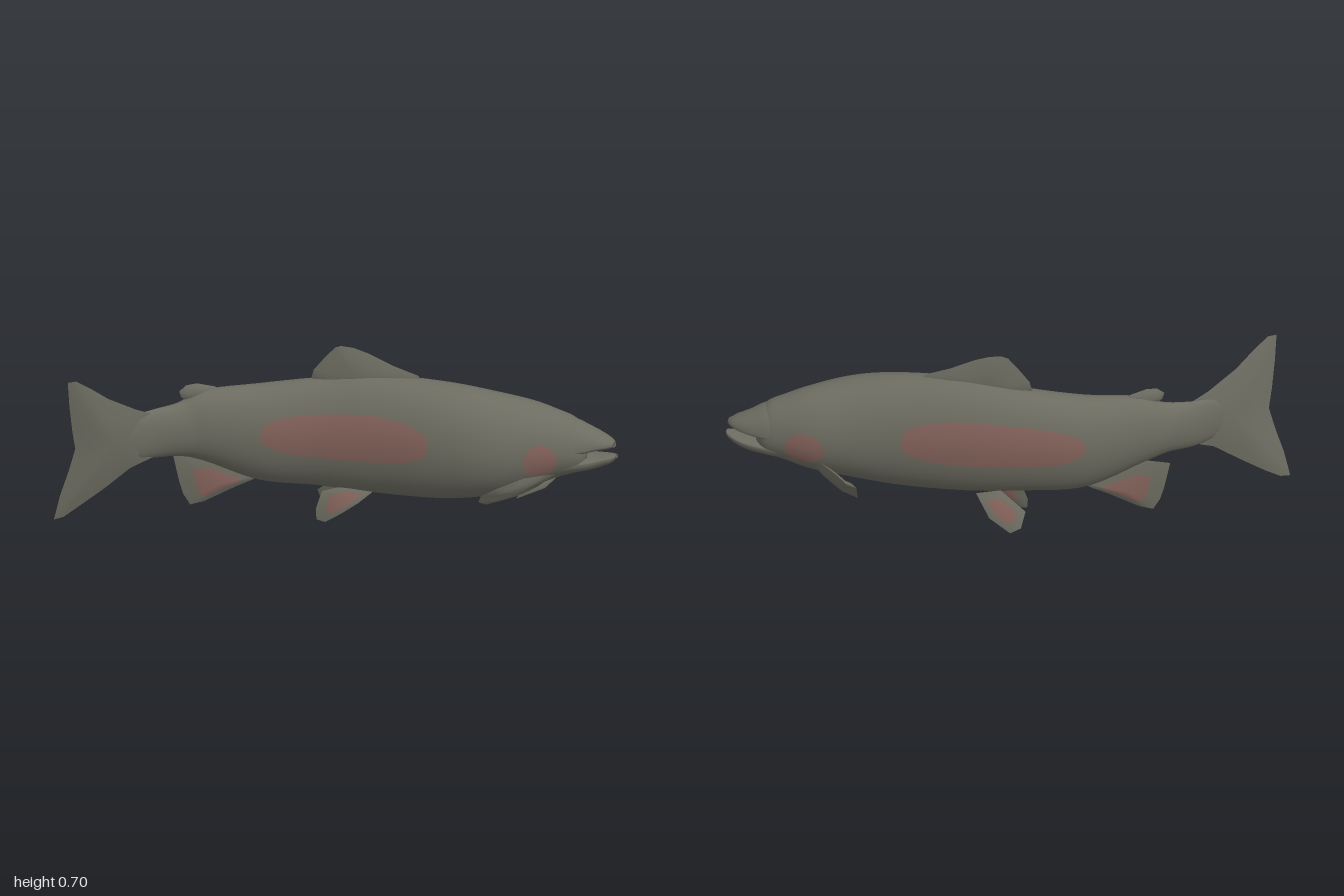
import * as THREE from 'three';

const olive = new THREE.MeshStandardMaterial({ color: 0x6c6c61, side: THREE.DoubleSide });
olive.name = 'olive grey skin';
const rose = new THREE.MeshStandardMaterial({ color: 0x83625a, side: THREE.DoubleSide });
rose.name = 'rose flush';

// Cross-sections along the bent spine: x, z, top y, widest y, bottom y, half width
const BODY = [
  [-0.78, -0.332, 0.43, 0.38, 0.33, 0.006], [-0.68, -0.34, 0.465, 0.38, 0.29, 0.022],
  [-0.6, -0.347, 0.475, 0.38, 0.28, 0.035], [-0.5, -0.34, 0.49, 0.38, 0.275, 0.052],
  [-0.4, -0.328, 0.53, 0.38, 0.245, 0.073], [-0.2, -0.27, 0.545, 0.36, 0.16, 0.105],
  [0, -0.18, 0.57, 0.36, 0.14, 0.115], [0.2, -0.06, 0.595, 0.36, 0.122, 0.13],
  [0.4, 0.075, 0.585, 0.35, 0.12, 0.145], [0.55, 0.165, 0.56, 0.34, 0.14, 0.148],
  [0.7, 0.225, 0.52, 0.34, 0.175, 0.13], [0.8, 0.27, 0.48, 0.335, 0.215, 0.105],
  [0.87, 0.305, 0.44, 0.325, 0.24, 0.08], [0.9, 0.32, 0.36, 0.32, 0.28, 0.04],
];
const SNOUT = [
  [0.8, 0.27, 0.47, 0.34, 0.31, 0.098], [0.87, 0.303, 0.442, 0.34, 0.315, 0.083],
  [0.92, 0.33, 0.412, 0.345, 0.325, 0.065], [0.965, 0.365, 0.382, 0.352, 0.335, 0.042],
  [0.985, 0.385, 0.362, 0.352, 0.342, 0.015],
];
const JAW = [
  [0.8, 0.27, 0.3, 0.29, 0.222, 0.09], [0.87, 0.303, 0.305, 0.285, 0.238, 0.075],
  [0.93, 0.335, 0.305, 0.29, 0.252, 0.055], [0.975, 0.37, 0.31, 0.3, 0.275, 0.033],
  [0.993, 0.388, 0.312, 0.305, 0.298, 0.012],
];

// Returns a function (t, angle, swell) giving a point on the smooth skin through the rows
function skin(rows) {
  const curve = (f) => new THREE.CatmullRomCurve3(rows.map(f), false, 'catmullrom', 0.5);
  const spine = curve((r) => new THREE.Vector3(r[0], r[3], r[1]));
  const size = curve((r) => new THREE.Vector3(r[2] - r[3], r[3] - r[4], r[5]));
  return (t, a, swell = 0) => {
    const c = spine.getPoint(t), d = spine.getTangent(t), s = size.getPoint(t);
    const len = Math.hypot(d.x, d.z), w = (s.z + swell) * Math.cos(a);
    const h = (Math.sin(a) > 0 ? s.x : s.y) + swell;
    return new THREE.Vector3(c.x - d.z / len * w, c.y + h * Math.sin(a), c.z + d.x / len * w);
  };
}

function geometry(points, index) {
  const g = new THREE.BufferGeometry().setFromPoints(points);
  g.setIndex(index);
  g.computeVertexNormals();
  return g;
}

// Closed tube of cross-sections with capped ends
function loft(surface, steps, sides = 40) {
  const pts = [], idx = [];
  for (let i = 0; i <= steps; i++)
    for (let j = 0; j < sides; j++) pts.push(surface(i / steps, j / sides * Math.PI * 2));
  for (let i = 0; i < steps; i++)
    for (let j = 0; j < sides; j++) {
      const k = (j + 1) % sides, a = i * sides + j, b = i * sides + k;
      idx.push(a, a + sides, b, b, a + sides, b + sides);
    }
  for (const end of [0, steps]) {
    const c = pts.length, o = end * sides;
    pts.push(surface(end / steps, 0).lerp(surface(end / steps, Math.PI), 0.5));
    for (let j = 0; j < sides; j++) {
      const k = (j + 1) % sides;
      idx.push(c, ...(end ? [o + j, o + k] : [o + k, o + j]));
    }
  }
  return geometry(pts, idx);
}

// Thin rounded patch lying on the skin
function patch(surface, tc, tr, ac, ar, power) {
  const rings = 10, n = 56, pts = [surface(tc, ac, 0.003)], idx = [];
  const soft = (v) => Math.sign(v) * Math.abs(v) ** power;
  for (let i = 1; i <= rings; i++)
    for (let j = 0; j < n; j++) {
      const p = j / n * Math.PI * 2, r = i / rings;
      pts.push(surface(tc + tr * r * soft(Math.cos(p)), ac + ar * r * soft(Math.sin(p)), 0.003));
    }
  for (let j = 0; j < n; j++) {
    const k = (j + 1) % n;
    idx.push(0, 1 + j, 1 + k);
    for (let i = 0; i < rings - 1; i++) {
      const a = 1 + i * n + j, b = 1 + i * n + k;
      idx.push(a, a + n, b, b, a + n, b + n);
    }
  }
  return geometry(pts, idx);
}

// Lens-shaped fin from an outline; the inner part is group 1, the rim group 0
function fin(outline, centre, half, inner = 0.6) {
  const o = outline.map((p) => new THREE.Vector3(...p)), n = o.length;
  const c = new THREE.Vector3(...centre), normal = new THREE.Vector3();
  o.forEach((p, i) => normal.add(p.clone().sub(c).cross(o[(i + 1) % n].clone().sub(c))));
  normal.normalize();
  const pts = [], core = [], rim = [];
  for (const side of [1, -1]) {
    const s = pts.length, lift = normal.clone().multiplyScalar(side * half);
    const tri = (list, a, b, d) => list.push(s + a, s + (side > 0 ? b : d), s + (side > 0 ? d : b));
    pts.push(c.clone().add(lift));
    o.forEach((p) => pts.push(c.clone().lerp(p, inner).addScaledVector(lift, 0.75)));
    o.forEach((p) => pts.push(p.clone()));
    for (let j = 0; j < n; j++) {
      const a = 1 + j, b = 1 + (j + 1) % n;
      tri(core, 0, a, b);
      tri(rim, a, a + n, b);
      tri(rim, b, a + n, b + n);
    }
  }
  const g = geometry(pts, [...rim, ...core]);
  g.addGroup(0, rim.length, 0);
  g.addGroup(rim.length, core.length, 1);
  return g;
}

export function createModel() {
  const fish = new THREE.Group();
  fish.name = 'fish';
  const add = (name, geo, mat) => {
    const m = new THREE.Mesh(geo, mat);
    m.name = name;
    fish.add(m);
  };
  const plain = [olive, olive], flushed = [olive, rose];

  // Body, snout and open lower jaw
  const body = skin(BODY);
  add('body', loft(body, 104), olive);
  add('upperSnout', loft(skin(SNOUT), 24), olive);
  add('lowerJaw', loft(skin(JAW), 24), olive);

  // Flush on both flanks and gill covers
  for (const left of [true, false]) {
    const at = (a) => (left ? a : Math.PI - a), side = left ? 'front' : 'back';
    add(side + 'FlankFlush', patch(body, 6.45 / 13, 1.45 / 13, at(0.1), 0.41, 0.75), rose);
    add(side + 'CheekFlush', patch(body, 10.4 / 13, 0.6 / 13, at(-0.17), 0.42, 0.9), rose);
  }

  // Fins along the middle line, each following the bend of the spine
  const flat = (list, z) => list.map(([x, y]) => [x, y, z(x, y)]);
  const tailZ = (x, y) => -0.335 + (y - 0.37) * 0.13 * Math.min(1, (-0.6 - x) / 0.3);
  add('tailFin', fin(flat([
    [-0.6, 0.46], [-0.68, 0.493], [-0.8, 0.56], [-0.88, 0.62], [-0.94, 0.66], [-0.975, 0.66],
    [-0.963, 0.56], [-0.945, 0.45], [-0.928, 0.37], [-0.95, 0.28], [-0.98, 0.18], [-1, 0.08],
    [-0.96, 0.085], [-0.9, 0.12], [-0.8, 0.185], [-0.7, 0.255], [-0.6, 0.29],
  ], tailZ), [-0.78, 0.375, -0.334], 0.016), plain);
  add('dorsalFin', fin(flat([
    [0.36, 0.56], [0.33, 0.603], [0.25, 0.637], [0.17, 0.682], [0.12, 0.702], [0.08, 0.707],
    [0.06, 0.7], [0.025, 0.655], [-0.01, 0.605], [-0.02, 0.56], [0.1, 0.52],
  ], (x) => -0.18 + 0.61 * x), [0.13, 0.59, -0.1], 0.02), plain);
  add('adiposeFin', fin(flat([
    [-0.32, 0.51], [-0.36, 0.542], [-0.43, 0.561], [-0.47, 0.557], [-0.497, 0.535],
    [-0.49, 0.51], [-0.46, 0.49],
  ], (x) => -0.335 + 0.15 * (x + 0.45)), [-0.43, 0.52, -0.332], 0.014), plain);
  add('analFin', fin(flat([
    [-0.18, 0.18], [-0.22, 0.152], [-0.28, 0.125], [-0.39, 0.068], [-0.44, 0.055],
    [-0.465, 0.1], [-0.48, 0.155], [-0.5, 0.255], [-0.4, 0.27],
  ], (x) => -0.28 + 0.38 * (x + 0.2)), [-0.35, 0.135, -0.337], 0.014, 0.55), flushed);

  // Paired fins, splayed by different amounts
  add('frontPelvicFin', fin([
    [0.18, 0.145, -0.03], [0.11, 0.095, -0.04], [0.05, 0.055, -0.06], [0, 0.014, -0.1],
    [-0.025, 0.02, -0.125], [-0.025, 0.06, -0.132], [0, 0.13, -0.13], [0.1, 0.16, -0.08],
  ], [0.06, 0.095, -0.075], 0.01), flushed);
  add('backPelvicFin', fin([
    [0.195, 0.145, -0.15], [0.165, 0.06, -0.21], [0.1, 0.007, -0.26], [0.06, 0.025, -0.27],
    [0.035, 0.085, -0.255], [0.11, 0.16, -0.19],
  ], [0.11, 0.085, -0.22], 0.01), flushed);
  add('frontPectoralFin', fin([
    [0.76, 0.25, 0.34], [0.7, 0.26, 0.355], [0.62, 0.262, 0.36], [0.5, 0.24, 0.37],
    [0.45, 0.21, 0.345], [0.45, 0.18, 0.325], [0.48, 0.165, 0.325], [0.6, 0.175, 0.32],
    [0.7, 0.2, 0.31],
  ], [0.6, 0.215, 0.342], 0.016), plain);
  add('backPectoralFin', fin([
    [0.74, 0.235, 0.12], [0.73, 0.263, 0.095], [0.715, 0.27, -0.02], [0.7, 0.262, -0.09],
    [0.665, 0.245, -0.104], [0.645, 0.18, -0.07], [0.645, 0.145, 0.03], [0.68, 0.165, 0.12],
  ], [0.685, 0.21, 0.02], 0.016), plain);

  // Small loose flap under the throat
  add('throatFlap', fin([
    [0.8, 0.235, 0.3], [0.74, 0.18, 0.29], [0.64, 0.133, 0.24], [0.66, 0.165, 0.25],
    [0.7, 0.2, 0.25],
  ], [0.72, 0.185, 0.27], 0.008), plain);
  return fish;
}
